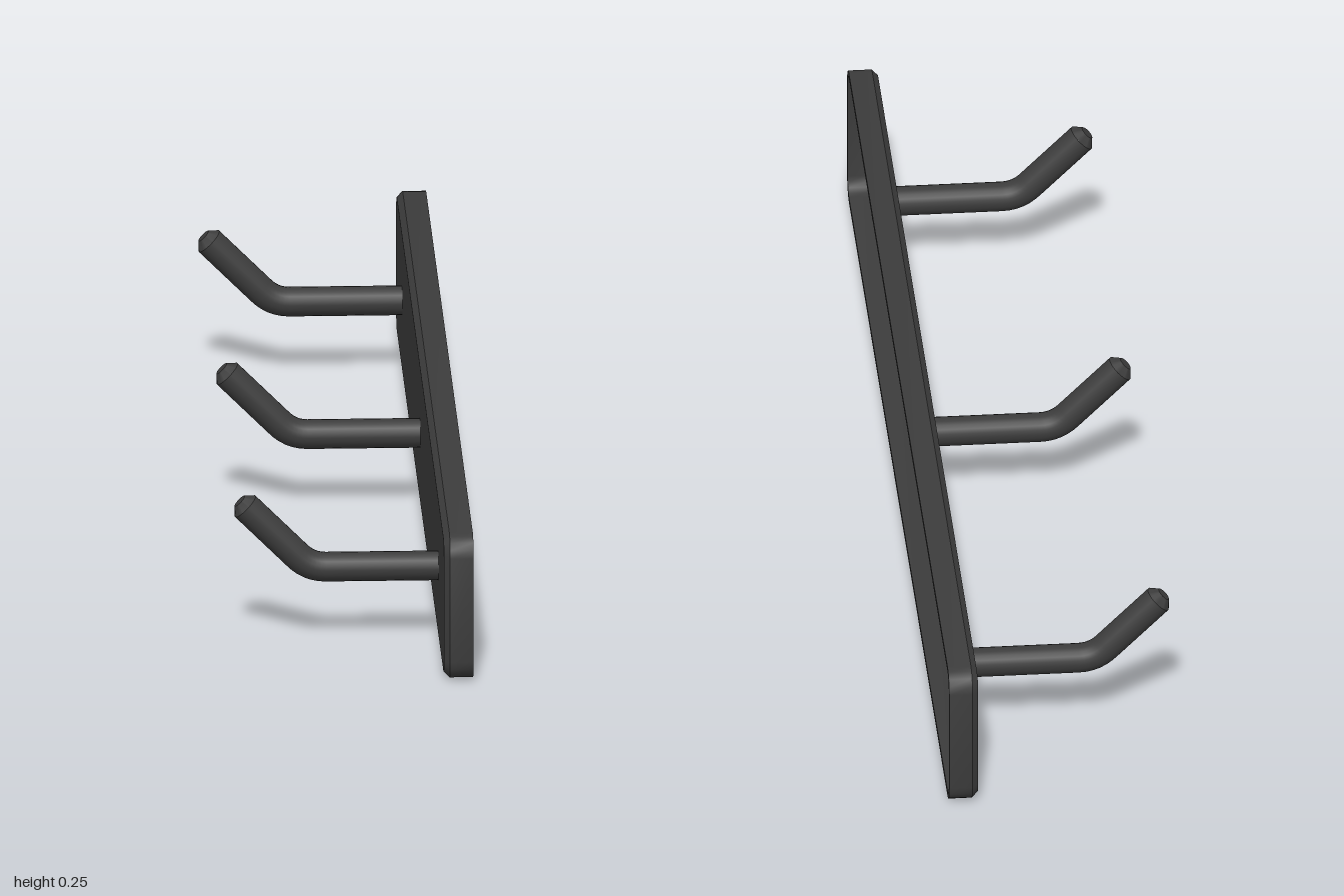
import * as THREE from 'three';
import { toCreasedNormals } from 'three/addons/utils/BufferGeometryUtils.js';

const MID_Y = 0.1275;
const material = new THREE.MeshStandardMaterial({ color: 0x3c3c3c });

// Rounded rectangle in the yz plane, shrunk by inset, at height x
function plateRing(inset, x) {
  const radius = Math.max(0.035 - inset, 0), steps = 4, points = [];
  const halfZ = 1 - inset - radius, halfY = 0.125 - inset - radius;
  const corners = [[1, 1], [-1, 1], [-1, -1], [1, -1]];
  corners.forEach(([su, sy], c) => {
    for (let i = 0; i <= steps; i++) {
      const a = (c + i / steps) * Math.PI / 2;
      points.push([x, 0.125 + sy * halfY + radius * Math.sin(a), -(su * halfZ + radius * Math.cos(a))]);
    }
  });
  return points;
}

// Shallow bevelled tray, closed towards the hooks and hollow at the wall side
function plateGeometry() {
  const profile = [
    [0.125, 0.144], [0.01, 0.144], [0, 0.154], [0, 0.193],
    [0.009, 0.193], [0.009, 0.16], [0.015, 0.154], [0.125, 0.154],
  ];
  const rings = profile.map(([inset, x]) => plateRing(inset, x));
  const positions = [];
  for (let r = 0; r < rings.length - 1; r++) {
    const a = rings[r], b = rings[r + 1];
    for (let j = 0; j < a.length; j++) {
      const k = (j + 1) % a.length;
      positions.push(...a[j], ...a[k], ...b[j], ...a[k], ...b[k], ...b[j]);
    }
  }
  const geometry = new THREE.BufferGeometry();
  geometry.setAttribute('position', new THREE.Float32BufferAttribute(positions, 3));
  return toCreasedNormals(geometry, 0.6);
}

function addMesh(parent, name, geometry) {
  const mesh = new THREE.Mesh(geometry, material);
  mesh.name = name;
  parent.add(mesh);
  return mesh;
}

// Bent rod with a chamfered tip
function createHook() {
  const hook = new THREE.Group();
  hook.name = 'hook';
  const v = (x, y) => new THREE.Vector3(x, y, 0);
  const bendStart = v(-0.043, MID_Y), bendEnd = v(-0.09, MID_Y + 0.0195);
  const path = new THREE.CurvePath();
  path.add(new THREE.LineCurve3(v(0.15, MID_Y), bendStart));
  path.add(new THREE.QuadraticBezierCurve3(bendStart, v(-0.0705, MID_Y), bendEnd));
  path.add(new THREE.LineCurve3(bendEnd, v(-0.1773, 0.2343)));
  addMesh(hook, 'hookRod', new THREE.TubeGeometry(path, 40, 0.0247, 20));

  const tip = addMesh(hook, 'hookTip',
    toCreasedNormals(new THREE.CylinderGeometry(0.012, 0.0247, 0.013, 20), 0.6));
  tip.position.set(-0.1819, 0.2389, 0);
  tip.rotation.z = Math.PI / 4;
  return hook;
}

// Slotted screw head: a disc with two half discs leaving a groove
function createScrew() {
  const screw = new THREE.Group();
  screw.name = 'screw';
  const radius = 0.03;
  const base = addMesh(screw, 'screwBase', new THREE.CylinderGeometry(radius, radius, 0.012, 20));
  base.rotation.z = -Math.PI / 2;
  base.position.x = 0.159;
  for (const turn of [0, Math.PI]) {
    const gap = 0.13;
    const half = new THREE.Shape().absarc(0, 0, radius, gap, Math.PI - gap, false);
    const geometry = new THREE.ExtrudeGeometry(half, { depth: 0.008, bevelEnabled: false, curveSegments: 10 });
    geometry.rotateZ(turn + Math.PI / 2);
    geometry.rotateY(Math.PI / 2);
    addMesh(screw, 'screwHalf', geometry).position.x = 0.165;
  }
  screw.position.y = MID_Y;
  return screw;
}

export function createModel() {
  const model = new THREE.Group();
  model.name = 'hookRail';
  addMesh(model, 'backPlate', plateGeometry());
  for (const z of [-0.75, 0, 0.75]) {
    for (const part of [createHook(), createScrew()]) {
      part.position.z = z;
      model.add(part);
    }
  }
  return model;
}
